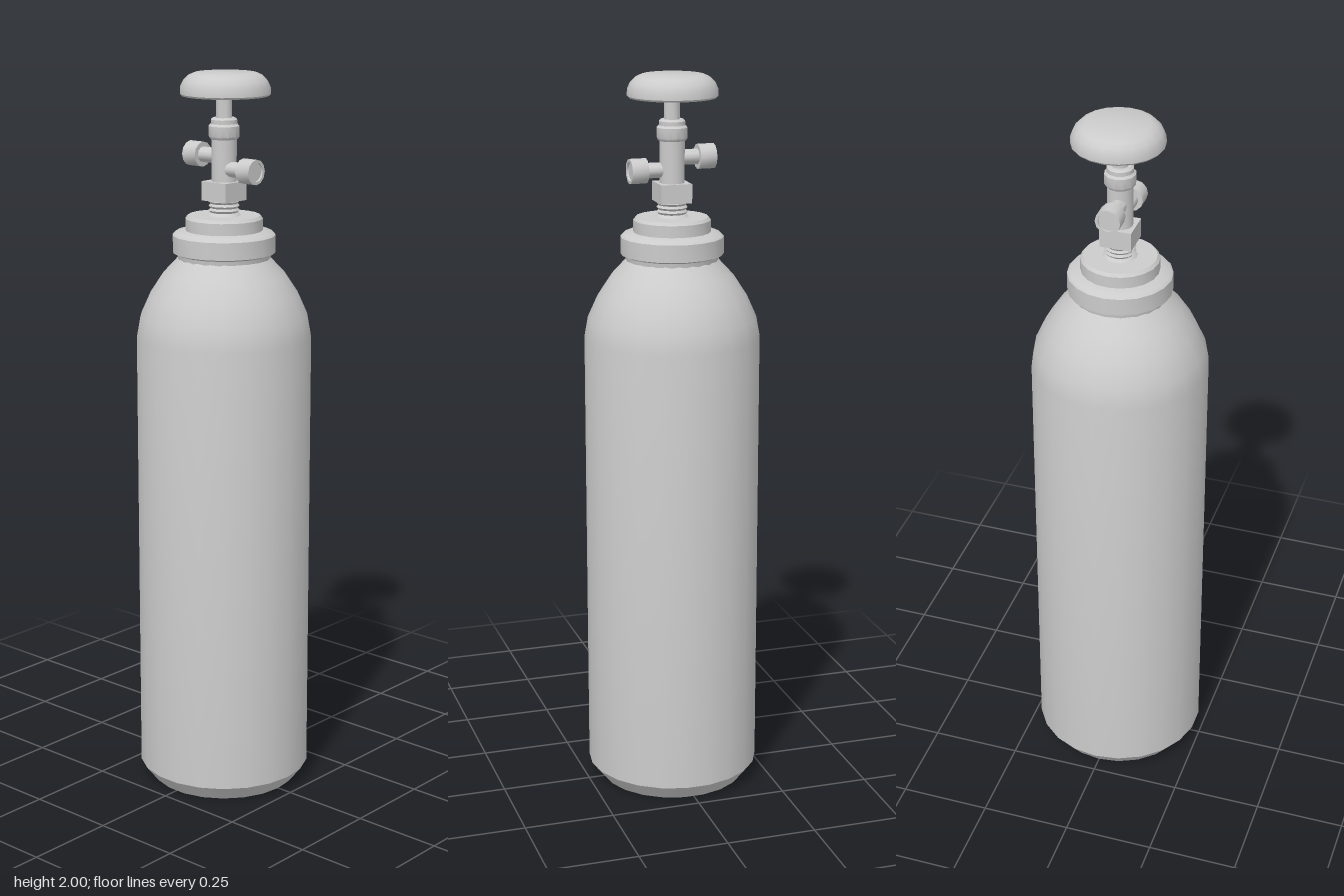
import * as THREE from 'three';
import { toCreasedNormals } from 'three/addons/utils/BufferGeometryUtils.js';

const material = new THREE.MeshStandardMaterial({ color: 0xcccccc });

export function createModel() {
  const group = new THREE.Group();

  const add = (name, geometry, x = 0, y = 0, z = 0) => {
    const mesh = new THREE.Mesh(geometry, material);
    mesh.name = name;
    mesh.position.set(x, y, z);
    group.add(mesh);
    return mesh;
  };

  // Turned part from [radius, height] pairs, bottom to top
  const turned = (name, profile, sides, x = 0, y = 0, z = 0) => {
    const points = profile.map(([r, h]) => new THREE.Vector2(r, h));
    const lathe = new THREE.LatheGeometry(points, sides, Math.PI / 2);
    return add(name, toCreasedNormals(lathe, 0.65), x, y, z);
  };

  // Tank with chamfered foot and domed shoulder
  turned('tank', [
    [0, 0], [0.205, 0], [0.24, 0.045], [0.24, 1.29], [0.23, 1.345],
    [0.203, 1.405], [0.167, 1.46], [0.125, 1.505], [0, 1.505],
  ], 22);

  // Stepped neck collar
  turned('neckCollar', [
    [0, 1.495], [0.125, 1.495], [0.128, 1.515], [0.14, 1.52], [0.14, 1.567],
    [0.132, 1.575], [0.105, 1.58], [0.105, 1.612], [0.098, 1.62], [0, 1.62],
  ], 20);

  // Threaded valve base
  const thread = [[0, 1.61], [0.052, 1.61], [0.042, 1.625]];
  for (let i = 0; i < 3; i++) {
    const y = 1.628 + i * 0.012;
    thread.push([0.037, y], [0.042, y + 0.006]);
  }
  thread.push([0.037, 1.665], [0, 1.665]);
  turned('valveThread', thread, 16);
  add('valveBlock', new THREE.BoxGeometry(0.086, 0.052, 0.086), 0, 1.686, 0);

  // Valve body, packing nut and stem
  turned('valveBody', [[0, 1.71], [0.034, 1.71], [0.034, 1.83], [0, 1.83]], 16);
  turned('packingNut', [
    [0, 1.825], [0.037, 1.825], [0.042, 1.832], [0.042, 1.86],
    [0.036, 1.866], [0.036, 1.877], [0.03, 1.882], [0, 1.882],
  ], 12);
  turned('valveStem', [[0, 1.87], [0.022, 1.87], [0.022, 1.95], [0, 1.95]], 12);

  // Hand wheel
  turned('handWheel', [
    [0, 1.94], [0.118, 1.94], [0.122, 1.945], [0.121, 1.963],
    [0.113, 1.98], [0.1, 1.993], [0.084, 2], [0, 2],
  ], 20, 0, 0, -0.005);

  // Side outlets, the right one higher than the left
  for (const [label, side, y] of [['right', -1, 1.778], ['left', 1, 1.746]]) {
    const pipe = turned(label + 'OutletPipe',
      [[0, 0], [0.021, 0], [0.021, 0.08], [0, 0.08]], 12, 0, y, 0.004);
    const cap = turned(label + 'OutletCap', [
      [0, 0.072], [0.034, 0.072], [0.034, 0.118], [0.026, 0.118],
      [0.026, 0.112], [0, 0.112],
    ], 12, 0, y, 0.004);
    pipe.rotation.z = cap.rotation.z = -side * Math.PI / 2;
  }

  return group;
}
